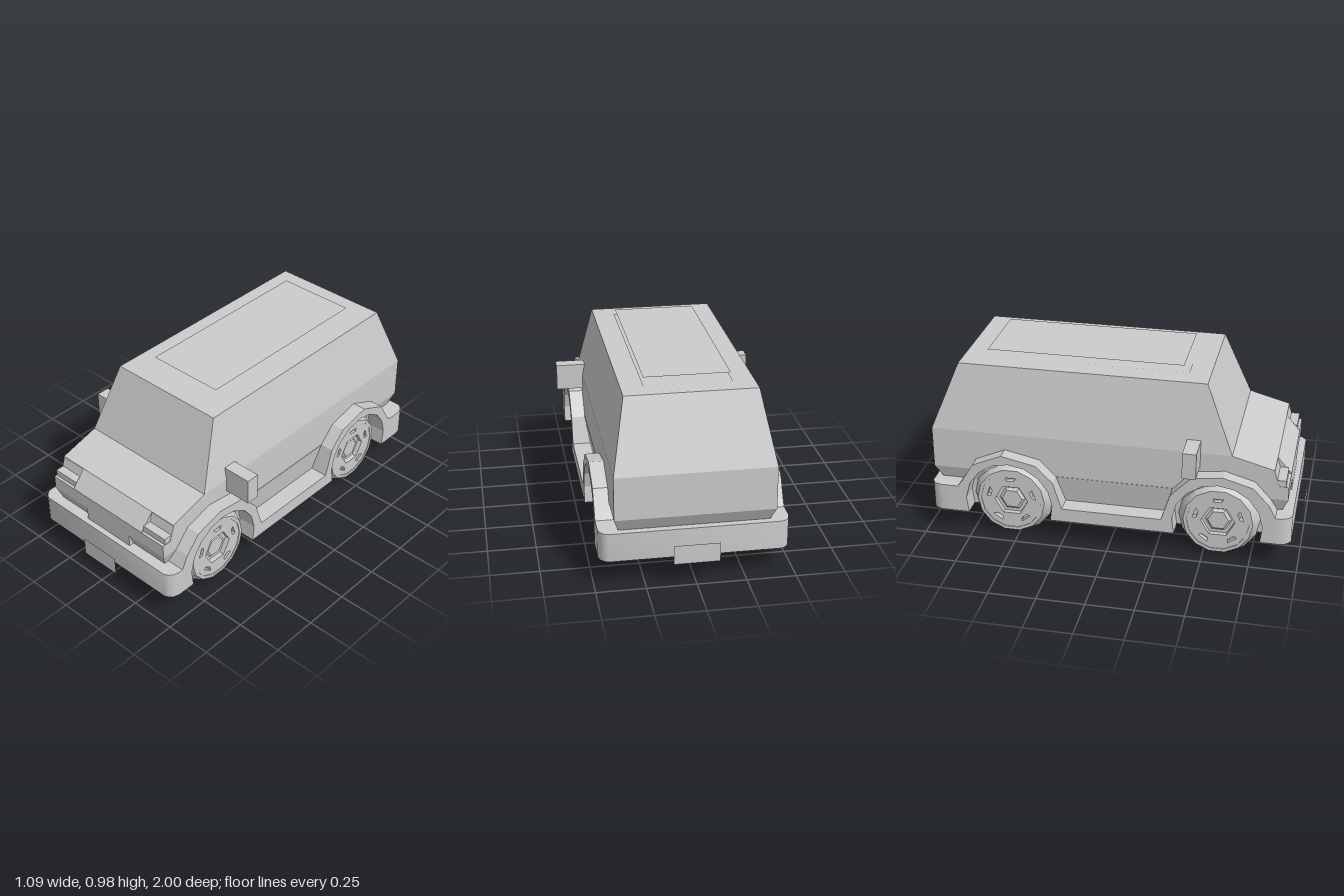
import * as THREE from 'three';
import { toCreasedNormals } from 'three/addons/utils/BufferGeometryUtils.js';

const grey = new THREE.MeshStandardMaterial({ color: 0xcccccc });
const flat = new THREE.MeshStandardMaterial({ color: 0xcccccc, flatShading: true });
const thin = new THREE.MeshStandardMaterial({ color: 0xcccccc, side: THREE.DoubleSide });

function add(parent, name, geometry, material = flat) {
  const mesh = new THREE.Mesh(geometry, material);
  mesh.name = name;
  parent.add(mesh);
  return mesh;
}

// Box given by its lower and upper corners
function box(x0, x1, y0, y1, z0, z1) {
  return new THREE.BoxGeometry(x1 - x0, y1 - y0, z1 - z0)
    .translate((x0 + x1) / 2, (y0 + y1) / 2, (z0 + z1) / 2);
}

function shapeOf(points) {
  return new THREE.Shape(points.map(([x, y]) => new THREE.Vector2(x, y)));
}

// Body shell lofted upwards through outlines: y, half width, rear z, nose z, headlight z
function bodyGeometry() {
  const levels = [
    [0.29, 0.375, -0.92, 0.90, 0.90],
    [0.365, 0.40, -0.96, 0.93, 0.93],
    [0.44, 0.40, -0.96, 0.93, 0.93],
    [0.441, 0.40, -0.96, 0.93, 0.88],
    [0.52, 0.40, -0.96, 0.863, 0.855],
    [0.53, 0.40, -0.96, 0.855, 0.855],
    [0.59, 0.40, -0.96, 0.635, 0.635],
    [0.947, 0.33, -0.817, 0.49, 0.49],
  ];
  const n = 8, pos = [], index = [];
  for (const [y, w, r, f, l] of levels) {
    const ring = [[-w, r], [-w, l], [-0.25, l], [-0.25, f], [0.25, f], [0.25, l], [w, l], [w, r]];
    for (const [x, z] of ring) pos.push(x, y, z);
  }
  const top = (levels.length - 1) * n;
  for (let k = 0; k < top; k += n) {
    for (let i = 0; i < n; i++) {
      const a = k + i, b = k + (i + 1) % n;
      index.push(a, b, b + n, a, b + n, a + n);
    }
  }
  for (let i = 1; i < n - 1; i++) index.push(0, i + 1, i, top, top + i, top + i + 1);
  const g = new THREE.BufferGeometry();
  g.setAttribute('position', new THREE.Float32BufferAttribute(pos, 3));
  g.setIndex(index);
  return g;
}

const axles = [0.577, -0.531], hubY = 0.217, radius = 0.217, floorY = 0.145;

// Side cladding: upper edge from front to rear, then wheel openings along the bottom
function claddingGeometry() {
  const pts = [
    [0.90, 0.295], [0.875, 0.295], [0.84, 0.365], [0.757, 0.455], [0.60, 0.50], [0.44, 0.48],
    [0.37, 0.41], [0.33, 0.365], [0.285, 0.22], [-0.245, 0.22], [-0.29, 0.37], [-0.38, 0.46],
    [-0.565, 0.50], [-0.725, 0.43], [-0.785, 0.33], [-0.81, 0.295], [-0.90, 0.295], [-0.90, floorY],
  ];
  const r = 0.235, dip = Math.asin((hubY - floorY) / r);
  for (const z of [axles[1], axles[0]]) {
    for (let i = 0; i <= 10; i++) {
      const a = Math.PI + dip - (Math.PI + 2 * dip) * i / 10;
      pts.push([z + r * Math.cos(a), hubY + r * Math.sin(a)]);
    }
  }
  pts.push([0.90, floorY]);
  return new THREE.ExtrudeGeometry(shapeOf(pts), { depth: 0.115, bevelEnabled: false })
    .rotateY(-Math.PI / 2).translate(0.475, 0, 0);
}

// Bumper with rounded corners, drawn in plan
function bumperGeometry() {
  const half = [[0.475, 0.84], [0.475, 0.90], [0.467, 0.93], [0.45, 0.95], [0.43, 0.96]];
  const pts = [...half, ...half.map(([x, z]) => [-x, z]).reverse()];
  const g = new THREE.ExtrudeGeometry(shapeOf(pts), { depth: 0.15, bevelEnabled: false })
    .rotateX(Math.PI / 2).translate(0, 0.295, 0);
  return toCreasedNormals(g, 0.6);
}

// Left wheel about its hub, outer side towards +x
function makeWheel() {
  const wheel = new THREE.Group();
  wheel.name = 'wheel';
  const profile = [[0, 0.18], [0.15, 0.18], [0.183, 0.18], [radius, 0.245], [radius, 0.37],
    [0.183, 0.435], [0.165, 0.435], [0.16, 0.405], [0, 0.405]].map(([r, x]) => new THREE.Vector2(r, x));
  const tire = new THREE.LatheGeometry(profile, 14).rotateZ(-Math.PI / 2);
  add(wheel, 'tire', toCreasedNormals(tire, 0.5), grey);

  // Rim plate with a hexagonal hub opening and five slots
  const ringPoints = (r, n) => Array.from({ length: n }, (_, i) =>
    [r * Math.cos(i / n * Math.PI * 2), r * Math.sin(i / n * Math.PI * 2)]);
  const rim = shapeOf(ringPoints(0.17, 14));
  rim.holes.push(shapeOf(ringPoints(0.09, 6)));
  for (let i = 0; i < 5; i++) {
    const a = (i + 0.25) / 5 * Math.PI * 2;
    const slot = [[0.115, -0.2], [0.135, -0.22], [0.135, 0.22], [0.115, 0.12]];
    rim.holes.push(shapeOf(slot.map(([r, t]) => [r * Math.cos(a + t), r * Math.sin(a + t)])));
  }
  add(wheel, 'rim', new THREE.ExtrudeGeometry(rim, { depth: 0.028, bevelEnabled: false })
    .rotateY(Math.PI / 2).translate(0.404, 0, 0));
  add(wheel, 'hubCap', new THREE.CylinderGeometry(0.055, 0.07, 0.012, 6)
    .rotateZ(-Math.PI / 2).translate(0.411, 0, 0));
  return wheel;
}

export function createModel() {
  const model = new THREE.Group();
  model.name = 'van';

  add(model, 'body', bodyGeometry());
  add(model, 'grille', box(-0.155, 0.155, 0.285, 0.44, 0.85, 0.93));
  add(model, 'chassis', box(-0.375, 0.375, floorY, 0.31, -0.86, 0.86));

  // Bumpers and number plates, front and rear
  for (const s of [1, -1]) {
    const end = new THREE.Group();
    end.name = s > 0 ? 'frontEnd' : 'rearEnd';
    end.rotation.y = s > 0 ? 0 : Math.PI;
    add(end, 'bumper', bumperGeometry(), grey);
    add(end, 'numberPlate', new THREE.PlaneGeometry(0.23, 0.1).translate(0, 0.175, 1), thin);
    model.add(end);
  }

  // Parts on both sides
  const cladding = claddingGeometry();
  for (const s of [1, -1]) {
    const side = new THREE.Group();
    side.name = s > 0 ? 'leftSide' : 'rightSide';
    side.scale.x = s;
    add(side, 'cladding', cladding);
    add(side, 'mirror', box(0.385, 0.545, 0.513, 0.655, 0.40, 0.472));
    add(side, 'headlight', box(0.25, 0.398, 0.44, 0.475, 0.86, 0.915));
    // Sill panel leaning in towards the floor
    const sill = shapeOf([[0.30, 0.22], [0.378, 0.22], [0.402, 0.37], [0.30, 0.37]]);
    add(side, 'sill', new THREE.ExtrudeGeometry(sill, { depth: 0.62, bevelEnabled: false })
      .translate(0, 0, -0.29));
    for (const z of axles) {
      const wheel = makeWheel();
      wheel.position.set(0, hubY, z);
      side.add(wheel);
    }
    model.add(side);
  }

  // Roof opening with a raised panel above it
  add(model, 'roofFrame', new THREE.PlaneGeometry(0.44, 1.1)
    .rotateX(-Math.PI / 2).translate(0, 0.95, -0.17), thin);
  add(model, 'roofPanel', new THREE.PlaneGeometry(0.43, 1.04)
    .rotateX(-Math.PI / 2).translate(0, 0.985, -0.17), thin);

  return model;
}
